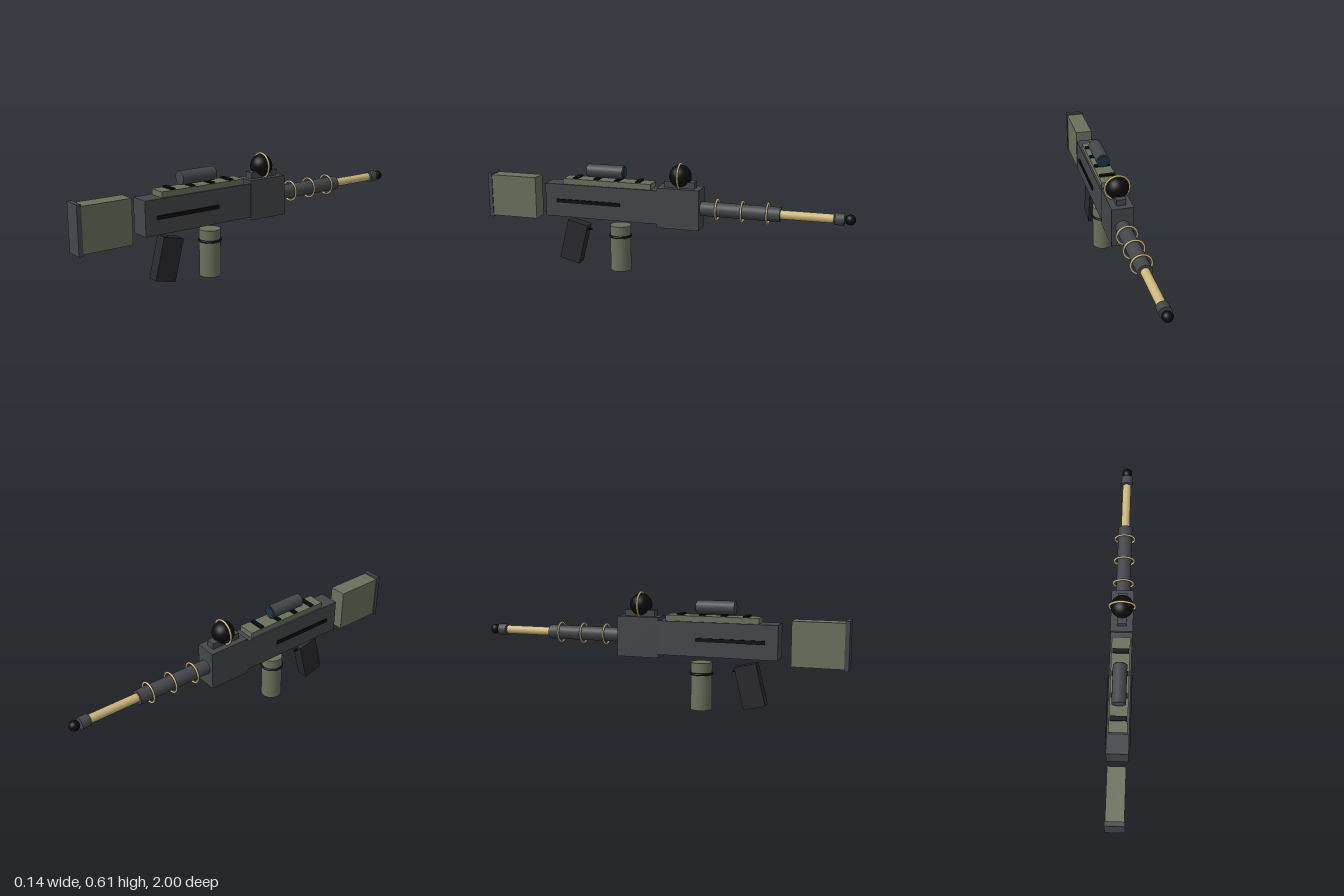
import * as THREE from 'three';

const paint = (color) => new THREE.MeshStandardMaterial({ color });

export function createModel() {
  const model = new THREE.Group();
  const steel = paint(0x44464a), olive = paint(0x6a705c), tan = paint(0xcdb67c);
  const black = paint(0x0b0b0b), gripGrey = paint(0x2a2a2d), glass = paint(0x17394a);

  const add = (name, geometry, material, x, y, z) => {
    const mesh = new THREE.Mesh(geometry, material);
    mesh.name = name;
    mesh.position.set(x, y, z);
    model.add(mesh);
    return mesh;
  };
  // Box given by its width and its y and z ranges
  const box = (name, material, w, y0, y1, z0, z1, x = 0) =>
    add(name, new THREE.BoxGeometry(w, y1 - y0, z1 - z0), material, x, (y0 + y1) / 2, (z0 + z1) / 2);
  // Cylinder lying along z
  const rod = (name, material, r, y, z0, z1) =>
    add(name, new THREE.CylinderGeometry(r, r, z1 - z0, 32).rotateX(Math.PI / 2), material, 0, y, (z0 + z1) / 2);
  const ring = (name, material, r, tube, y, z) =>
    add(name, new THREE.TorusGeometry(r, tube, 12, 48), material, 0, y, z);

  // Stock, floating behind the body
  box('stock', olive, 0.092, 0.258, 0.488, 0.715, 0.98);
  box('buttPlate', steel, 0.1, 0.25, 0.498, 0.977, 1.0);

  // Body
  box('receiver', steel, 0.112, 0.285, 0.465, 0.015, 0.65);
  box('frontBlock', steel, 0.116, 0.267, 0.481, -0.21, 0.018);
  for (const side of [-1, 1]) box('sideSlot', black, 0.012, 0.364, 0.383, 0.222, 0.585, side * 0.057);

  // Top rail with cross bars
  box('rail', olive, 0.094, 0.46, 0.495, 0.055, 0.55);
  for (const z of [0.13, 0.247, 0.363, 0.48]) box('railBar', black, 0.084, 0.485, 0.503, z - 0.012, z + 0.012);

  // Scope
  rod('scope', steel, 0.036, 0.539, 0.217, 0.418);
  rod('scopeLens', glass, 0.03, 0.539, 0.212, 0.22);

  // Ringed orb on its mount
  box('orbMount', steel, 0.05, 0.475, 0.514, -0.178, -0.012);
  add('orb', new THREE.SphereGeometry(0.059, 32, 24), black, 0, 0.54, -0.095);
  ring('orbRing', tan, 0.066, 0.0055, 0.54, -0.095);

  // Barrel
  rod('barrelSleeve', steel, 0.038, 0.374, -0.625, -0.2);
  for (const z of [-0.295, -0.428, -0.56]) ring('barrelRing', tan, 0.053, 0.0055, 0.374, z);
  rod('barrel', tan, 0.023, 0.374, -0.892, -0.615);
  rod('muzzleCollar', steel, 0.031, 0.374, -0.945, -0.898);
  add('muzzleTip', new THREE.SphereGeometry(0.027, 24, 16), black, 0, 0.374, -0.973);

  // Slanted grip and trigger
  const grip = box('grip', gripGrey, 0.064, 0.026, 0.252, 0.446, 0.562);
  grip.rotation.x = -0.24;
  const trigger = box('trigger', black, 0.012, 0.208, 0.215, 0.405, 0.44);
  trigger.rotation.x = -0.15;

  // Canister with a band
  add('canister', new THREE.CylinderGeometry(0.056, 0.056, 0.25, 32), olive, 0, 0.125, 0.24);
  ring('canisterBand', black, 0.056, 0.0065, 0.191, 0.24).rotation.x = Math.PI / 2;

  return model;
}
